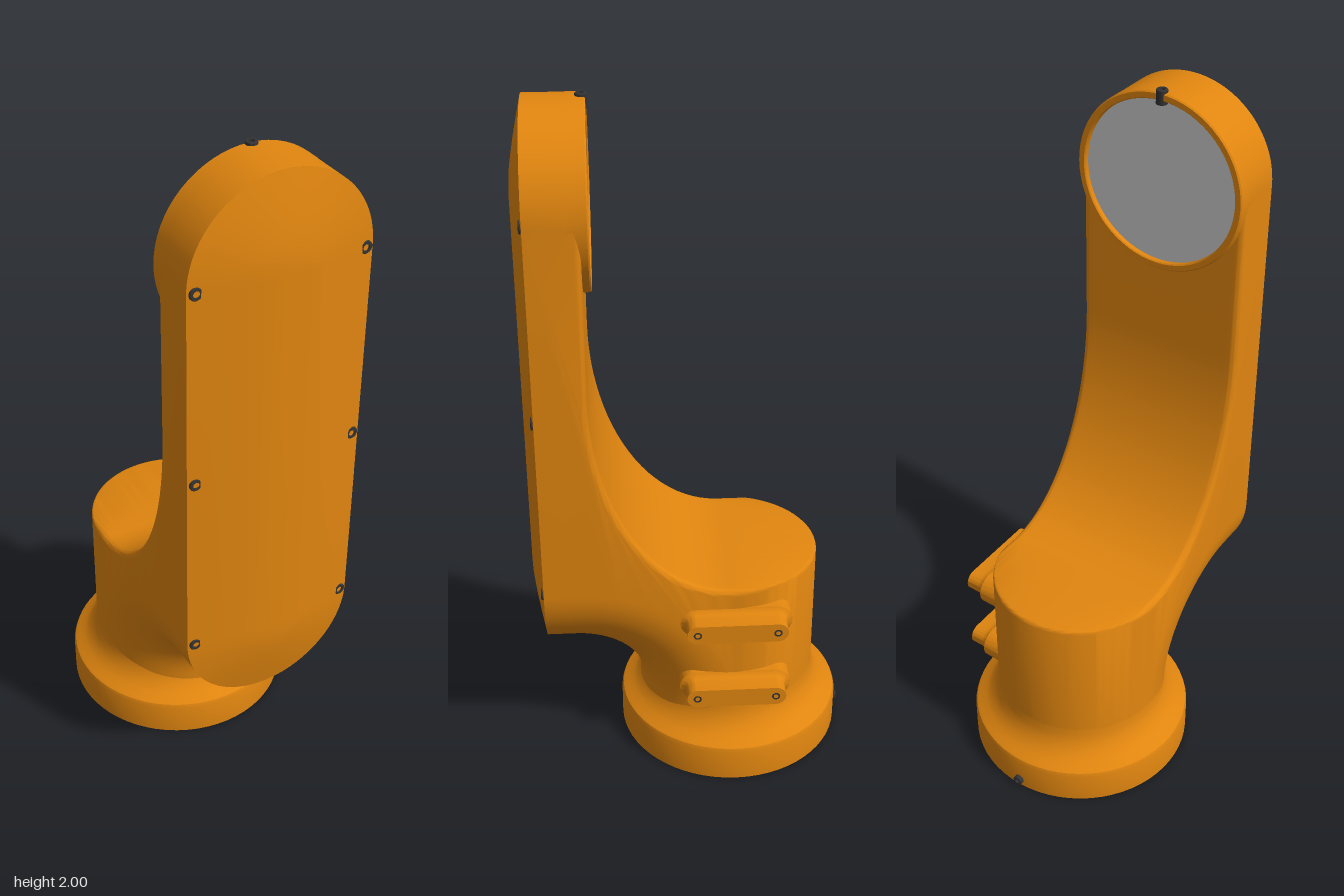
import * as THREE from 'three';
import { toCreasedNormals } from 'three/addons/utils/BufferGeometryUtils.js';

const R = 0.257, AXIS_Z = -0.12, LOW_Y = 0.632, HIGH_Y = 1.735, FRONT_Z = 0.43;
const orange = new THREE.MeshStandardMaterial({ color: 0xe0850f });
const dark = new THREE.MeshStandardMaterial({ color: 0x333333 });
const grey = new THREE.MeshStandardMaterial({ color: 0xcccccc });

function mesh(name, geometry, material) {
  const m = new THREE.Mesh(geometry, material);
  m.name = name;
  return m;
}

function surface(positions, index, crease) {
  const g = new THREE.BufferGeometry();
  g.setAttribute('position', new THREE.Float32BufferAttribute(positions, 3));
  g.setIndex(index);
  return toCreasedNormals(g, crease);
}

// Outline (z, y) of the housing cut at x: column, concave back, arm and elbow
function slice(x) {
  const d = Math.sqrt(Math.max(0, R * R - x * x));
  const f = 0.018, over = Math.max(0, Math.abs(x) - (R - f));
  const e = f - Math.sqrt(Math.max(0, f * f - over * over)); // rounded side edge
  const top = 0.63 - e, back = AXIS_Z - d, rim = 0.01;
  const p = [[back, 0.1]];
  for (let i = 0; i <= 3; i++) {
    const t = i / 3 * Math.PI / 2;
    p.push([back + rim * (1 - Math.cos(t)), top - rim * (1 - Math.sin(t))]);
  }
  for (let i = 0; i <= 24; i++) {
    const t = i / 24 * Math.PI / 2;
    p.push([-0.1 + (0.387 + e) * Math.sin(t), 1.25 - (0.62 + e) * Math.cos(t)]);
  }
  p.push([0.287 + e, HIGH_Y + d], [FRONT_Z, HIGH_Y + d], [FRONT_Z, LOW_Y - d]);
  const a = 0.465 - 1.07 * d, b = 0.447 - d;
  for (let i = 0; i <= 16; i++) {
    const t = i / 16 * Math.PI / 2;
    p.push([0.345 - a * Math.sin(t), 0.185 + b * Math.cos(t)]);
  }
  p.push([0.345 - a, 0.1]);
  return p;
}

// Loft the slices across the width and close both flat sides
function housingGeometry() {
  const steps = 48, pos = [], index = [];
  let n = 0;
  for (let i = 0; i <= steps; i++) {
    const x = R * Math.sin((i / steps - 0.5) * Math.PI);
    const p = slice(x);
    n = p.length;
    for (const [z, y] of p) pos.push(x, y, z);
  }
  for (let i = 0; i < steps; i++) {
    for (let j = 0; j < n; j++) {
      const a = i * n + j, b = i * n + (j + 1) % n;
      index.push(a, b, a + n, b, b + n, a + n);
    }
  }
  const side = slice(R).map(([z, y]) => new THREE.Vector2(z, y));
  for (const [a, b, c] of THREE.ShapeUtils.triangulateShape(side, [])) {
    const ccw = THREE.ShapeUtils.area([side[a], side[b], side[c]]) > 0;
    const [p, q] = ccw ? [b, c] : [c, b];
    const o = steps * n;
    index.push(a, p, q, o + a, o + q, o + p);
  }
  return surface(pos, index, 0.6);
}

// Stack of stadium rings, long axis y, rising along z; profile is [radius, z]
function stadium(half, profile, crease) {
  const arc = 24, n = 2 * (arc + 1), pos = [], index = [];
  for (const [r, z] of profile) {
    for (let j = 0; j < n; j++) {
      const upper = j <= arc;
      const t = (upper ? j : j - 1) / arc * Math.PI;
      pos.push(r * Math.cos(t), r * Math.sin(t) + (upper ? half : -half), z);
    }
  }
  for (let k = 0; k < profile.length - 1; k++) {
    for (let j = 0; j < n; j++) {
      const a = k * n + j, b = k * n + (j + 1) % n;
      index.push(a, b, a + n, b, b + n, a + n);
    }
  }
  return surface(pos, index, crease);
}

function lathe(points) {
  const g = new THREE.LatheGeometry(points.map(([r, y]) => new THREE.Vector2(r, y)), 64);
  return toCreasedNormals(g, 0.6);
}

// Socket-head screw facing +z
function screw(name, radius, length) {
  const s = radius * 0.5;
  const g = new THREE.LatheGeometry([
    [radius, -length], [radius, -0.002], [radius - 0.002, 0], [s, 0], [s, -0.007], [0, -0.007],
  ].map(([r, y]) => new THREE.Vector2(r, y)), 18);
  return mesh(name, toCreasedNormals(g, 0.6).rotateX(Math.PI / 2), dark);
}

export function createModel() {
  const model = new THREE.Group();
  model.name = 'robotArmLink';
  model.add(mesh('housing', housingGeometry(), orange));

  // Base flange with a filleted neck and recessed underside
  const base = mesh('baseFlange', lathe([
    [0.318, 0.03], [0.318, 0], [0.335, 0], [0.335, 0.098], [0.331, 0.11], [0.32, 0.118],
    [0.3, 0.13], [0.28, 0.15], [0.266, 0.175], [0.259, 0.2], [0.2565, 0.23],
  ]), orange);
  base.position.z = AXIS_Z;
  const basePlate = mesh('basePlate', new THREE.CircleGeometry(0.32, 64).rotateX(Math.PI / 2), grey);
  basePlate.position.set(0, 0.025, AXIS_Z);
  model.add(base, basePlate);

  // Joint ring and its recessed plate on the back of the arm
  const ring = mesh('jointRing', lathe([
    [0.236, 0], [0.236, 0.022], [0.239, 0.025], [0.254, 0.025], [0.2575, 0.021], [0.2575, -0.03],
  ].reverse()).rotateX(-Math.PI / 2), orange);
  ring.material = orange.clone();
  ring.material.side = THREE.DoubleSide;
  ring.position.set(0, HIGH_Y, 0.29);
  const plate = mesh('jointPlate', new THREE.CircleGeometry(0.238, 64).rotateY(Math.PI), grey);
  plate.position.set(0, HIGH_Y, 0.281);
  model.add(ring, plate);

  // Domed front cover
  const cover = mesh('frontCover', stadium((HIGH_Y - LOW_Y) / 2, [
    [R, 0], [0.2, 0.013], [0.15, 0.0235], [0.11, 0.031], [0.08, 0.036], [0.05, 0.039], [0, 0.04],
  ], 0.5), orange);
  cover.position.set(0, (HIGH_Y + LOW_Y) / 2, FRONT_Z);
  model.add(cover);
  for (const y of [LOW_Y, (HIGH_Y + LOW_Y) / 2, HIGH_Y]) {
    for (const s of [-1, 1]) {
      const bolt = screw('coverScrew', 0.018, 0.03);
      bolt.position.set(s * 0.234, y, 0.438);
      model.add(bolt);
    }
  }

  // Two mounting lugs on the left of the column
  for (const y of [0.295, 0.525]) {
    const lug = new THREE.Group();
    lug.name = 'sideLug';
    lug.add(mesh('lugBody', stadium(0.115, [
      [0.05, 0.2], [0.048, 0.256], [0.039, 0.26], [0.033, 0.268], [0.031, 0.28],
      [0.03, 0.318], [0, 0.318],
    ], 0.6).rotateZ(Math.PI / 2).rotateY(Math.PI / 2), orange));
    for (const z of [-0.115, 0.115]) {
      const hole = mesh('lugHole', new THREE.RingGeometry(0.007, 0.012, 20).rotateY(Math.PI / 2), dark);
      hole.position.set(0.319, 0, z);
      lug.add(hole);
    }
    lug.position.set(0, y, AXIS_Z + 0.003);
    model.add(lug);
  }

  // Single screws on the arm top and the back of the base
  const topScrew = screw('topScrew', 0.016, 0.04);
  topScrew.rotation.x = -Math.PI / 2;
  topScrew.position.set(0, 2, 0.276);
  const baseScrew = screw('baseScrew', 0.015, 0.04);
  baseScrew.rotation.y = Math.PI;
  baseScrew.position.set(0, 0.025, -0.468);
  model.add(topScrew, baseScrew);
  return model;
}
